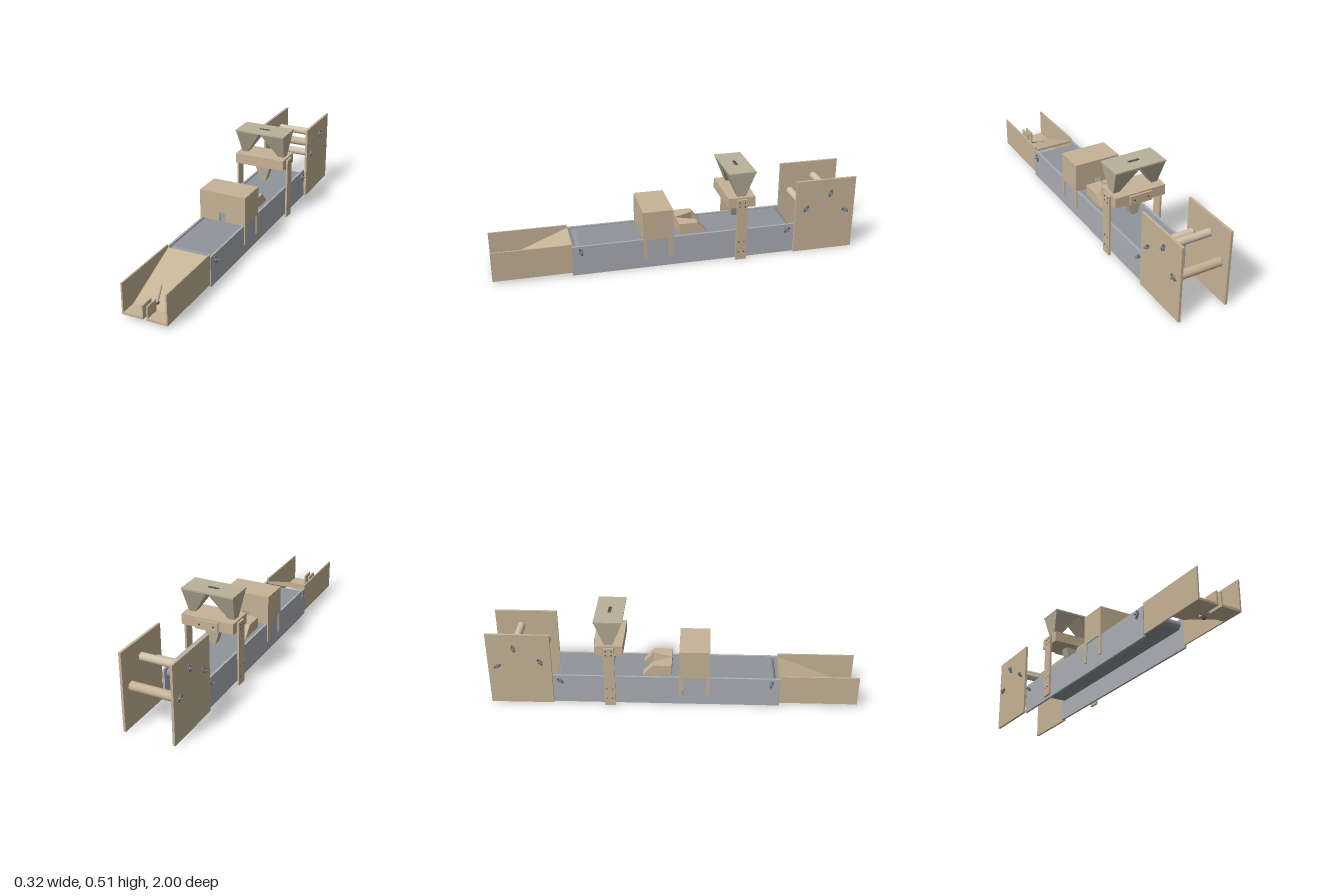
import * as THREE from 'three';

const mat = (color) => new THREE.MeshStandardMaterial({ color, side: THREE.DoubleSide });
const WOOD = mat(0xc6b396), PALE = mat(0xbab19b), STEEL = mat(0xabaeb4), BELT = mat(0x8f959b),
  ROLLER = mat(0xcfc2ab), METAL = mat(0x80868e), DARK = mat(0x55504a);

export function createModel() {
  const root = new THREE.Group();
  const add = (name, geo, m = WOOD, parent = root) => {
    const mesh = new THREE.Mesh(geo, m);
    mesh.name = name;
    parent.add(mesh);
    return mesh;
  };
  // box given by its limits
  const box = (name, x0, x1, y0, y1, z0, z1, m = WOOD) =>
    add(name, new THREE.BoxGeometry(x1 - x0, y1 - y0, z1 - z0)
      .translate((x0 + x1) / 2, (y0 + y1) / 2, (z0 + z1) / 2), m);
  const mirrorBox = (name, x0, x1, ...rest) => {
    box(name, x0, x1, ...rest);
    box(name, -x1, -x0, ...rest);
  };
  const shape = (pts) => new THREE.Shape(pts.map(([a, b]) => new THREE.Vector2(a, b)));
  // side profile of [z, y] points, extruded across x
  const acrossX = (s, x0, x1) =>
    new THREE.ExtrudeGeometry(s, { depth: x1 - x0, bevelEnabled: false, curveSegments: 12 })
      .rotateY(-Math.PI / 2).translate(x1, 0, 0);
  // plan of [x, z] points, extruded upwards
  const upwards = (pts, y0, y1) =>
    new THREE.ExtrudeGeometry(shape(pts.map(([x, z]) => [x, -z])), { depth: y1 - y0, bevelEnabled: false })
      .rotateX(-Math.PI / 2).translate(0, y0, 0);
  // box tapering from one rectangle [x0, x1, z0, z1] to another
  const taper = (bottom, top, y0, y1) => {
    const g = new THREE.BoxGeometry(1, 1, 1), p = g.attributes.position;
    for (let i = 0; i < p.count; i++) {
      const r = p.getY(i) > 0 ? top : bottom;
      p.setXYZ(i, p.getX(i) > 0 ? r[1] : r[0], p.getY(i) > 0 ? y1 : y0, p.getZ(i) > 0 ? r[3] : r[2]);
    }
    g.computeVertexNormals();
    return g;
  };
  const rodX = (name, r, x0, x1, y, z, m, sides = 24) =>
    add(name, new THREE.CylinderGeometry(r, r, x1 - x0, sides).rotateZ(Math.PI / 2)
      .translate((x0 + x1) / 2, y, z), m);

  // flanged bearings on both ends of a shaft, sitting on a wall at x = wall
  const bearings = (wall, y, z, tilt) => {
    for (const side of [-1, 1]) {
      const g = new THREE.Group();
      g.name = 'bearing';
      const part = (name, r, t, x, sides, m) => add(name,
        new THREE.CylinderGeometry(r, r, t, sides).rotateZ(Math.PI / 2).translate(x + t / 2, 0, 0), m, g);
      const flange = part('bearingFlange', 0.018, 0.004, 0, 16, METAL);
      flange.scale.set(1, 1.25, 0.6);
      part('bearingHub', 0.01, 0.01, 0, 16, METAL);
      for (const s of [-1, 1]) {
        part('flangeBolt', 0.004, 0.009, 0, 6, DARK).position.y = s * 0.016;
      }
      part('shaftEnd', 0.004, 0.021, 0, 12, METAL);
      g.position.set(side * wall, y, z);
      g.rotation.x = tilt;
      if (side < 0) g.scale.x = -1;
      root.add(g);
    }
  };

  // conveyor: side rails, hollow belt loop, end rollers
  mirrorBox('conveyorRail', 0.115, 0.127, 0.003, 0.17, -0.657, 0.578, STEEL);
  const zf = 0.53, zb = -0.617, yc = 0.138;
  const loop = (C, r) => {
    const s = new C();
    s.absarc(zf, yc, r, -Math.PI / 2, Math.PI / 2, false);
    s.absarc(zb, yc, r, Math.PI / 2, Math.PI * 1.5, false);
    s.closePath();
    return s;
  };
  const beltShape = loop(THREE.Shape, 0.025);
  beltShape.holes.push(loop(THREE.Path, 0.022));
  add('belt', acrossX(beltShape, -0.113, 0.113), BELT);
  for (const [z, tilt] of [[zf, 0.3], [zb, -0.9]]) {
    rodX('beltRoller', 0.021, -0.112, 0.112, yc, z, DARK);
    bearings(0.127, yc, z, tilt);
  }

  // rear roller frame
  mirrorBox('rearSidePlate', 0.128, 0.141, 0.003, 0.425, -1, -0.657);
  for (const [z, y, r, m, tilt] of [
    [-0.717, 0.262, 0.021, ROLLER, -0.6],
    [-0.854, 0.342, 0.021, ROLLER, -0.3],
    [-0.948, 0.232, 0.024, WOOD, 1.1]]) {
    rodX('rearRoller', r, -0.115, 0.115, y, z, m);
    rodX('rearRollerShaft', 0.006, -0.141, 0.141, y, z, METAL, 12);
    bearings(0.141, y, z, tilt);
  }

  // front tray: sides, ramp, slotted floor
  mirrorBox('traySide', 0.115, 0.123, 0.018, 0.185, 0.575, 1);
  add('trayRamp', acrossX(shape([[0.572, 0.17], [0.572, 0.157], [0.89, 0.026], [0.915, 0.03]]), -0.115, 0.115));
  mirrorBox('trayFloor', 0.01, 0.115, 0.018, 0.03, 0.88, 1);
  box('trayFloorBridge', -0.01, 0.01, 0.018, 0.03, 0.86, 0.915);
  mirrorBox('slotWall', 0.009, 0.017, 0.018, 0.092, 0.92, 0.998);

  // sorting arm lying over the ramp, with its motor below
  add('armMotor', new THREE.CylinderGeometry(0.009, 0.009, 0.05, 20).translate(0, 0.027, 0.88), DARK);
  const arm = add('sortingArm', new THREE.CapsuleGeometry(0.007, 0.095, 4, 12), PALE);
  const from = new THREE.Vector3(0, 0.052, 0.885), to = new THREE.Vector3(-0.03, 0.088, 0.795);
  arm.position.lerpVectors(from, to, 0.5);
  arm.quaternion.setFromUnitVectors(new THREE.Vector3(0, 1, 0), to.clone().sub(from).normalize());

  // scanning box with a notch through front and back, and legs
  const wall = shape([[-0.127, 0.17], [-0.017, 0.17], [-0.017, 0.222], [0.017, 0.222],
    [0.017, 0.17], [0.127, 0.17], [0.127, 0.325], [-0.127, 0.325]]);
  for (const z of [0.03, 0.188]) {
    add('scannerWall', new THREE.ExtrudeGeometry(wall, { depth: 0.007, bevelEnabled: false }).translate(0, 0, z));
  }
  box('scannerRoof', -0.133, 0.133, 0.325, 0.332, 0.03, 0.195);
  mirrorBox('scannerSide', 0.127, 0.133, 0.17, 0.325, 0.03, 0.195);
  for (const z of [0.03, 0.175]) mirrorBox('scannerLeg', 0.127, 0.133, 0.06, 0.17, z, z + 0.02);

  // pair of guide blocks closing to a point
  for (const s of [-1, 1]) {
    add('guideBlock', upwards([[0.093, -0.115], [0.048, -0.115], [0.002, -0.012], [0.093, -0.012]]
      .map(([x, z]) => [s * x, z]), 0.16, 0.223));
    const x = s * 0.0705;
    add('guideRamp', acrossX(shape([[-0.172, 0.16], [-0.115, 0.16], [-0.115, 0.223]]), x - 0.0225, x + 0.0225));
  }

  // hopper bridge on two posts
  box('bridge', -0.147, 0.147, 0.312, 0.37, -0.42, -0.27);
  box('bridgeBackPlate', -0.065, 0.065, 0.31, 0.362, -0.43, -0.42);
  mirrorBox('bridgePost', 0.147, 0.158, 0.003, 0.361, -0.375, -0.315);
  for (const side of [-1, 1]) for (const z of [-0.36, -0.33]) for (const y of [0.05, 0.11, 0.32, 0.345]) {
    rodX('postScrew', 0.004, side * 0.158 - 0.001, side * 0.158 + 0.001, y, z, DARK, 10);
  }
  for (const x of [-0.04, 0.04]) {
    add('plateScrew', new THREE.CylinderGeometry(0.005, 0.005, 0.003, 10)
      .rotateX(Math.PI / 2).translate(x, 0.336, -0.43), DARK);
  }
  add('dropChute', taper([-0.017, 0.017, -0.365, -0.325], [-0.05, 0.05, -0.372, -0.318], 0.207, 0.312), PALE);

  // twin-legged hopper with a slotted lid
  for (const s of [-1, 1]) {
    const rect = (a, b, z0, z1) => [Math.min(s * a, s * b), Math.max(s * a, s * b), z0, z1];
    add('hopperLeg', taper(rect(0.095, 0.13, -0.37, -0.323), rect(0.004, 0.145, -0.418, -0.27), 0.37, 0.506), PALE);
  }
  box('hopperLid', -0.147, 0.147, 0.505, 0.513, -0.42, -0.268, PALE);
  add('lidSlot', new THREE.CapsuleGeometry(0.009, 0.05, 4, 12).rotateZ(Math.PI / 2)
    .scale(1, 0.15, 1).translate(0, 0.513, -0.345), DARK);

  return root;
}
